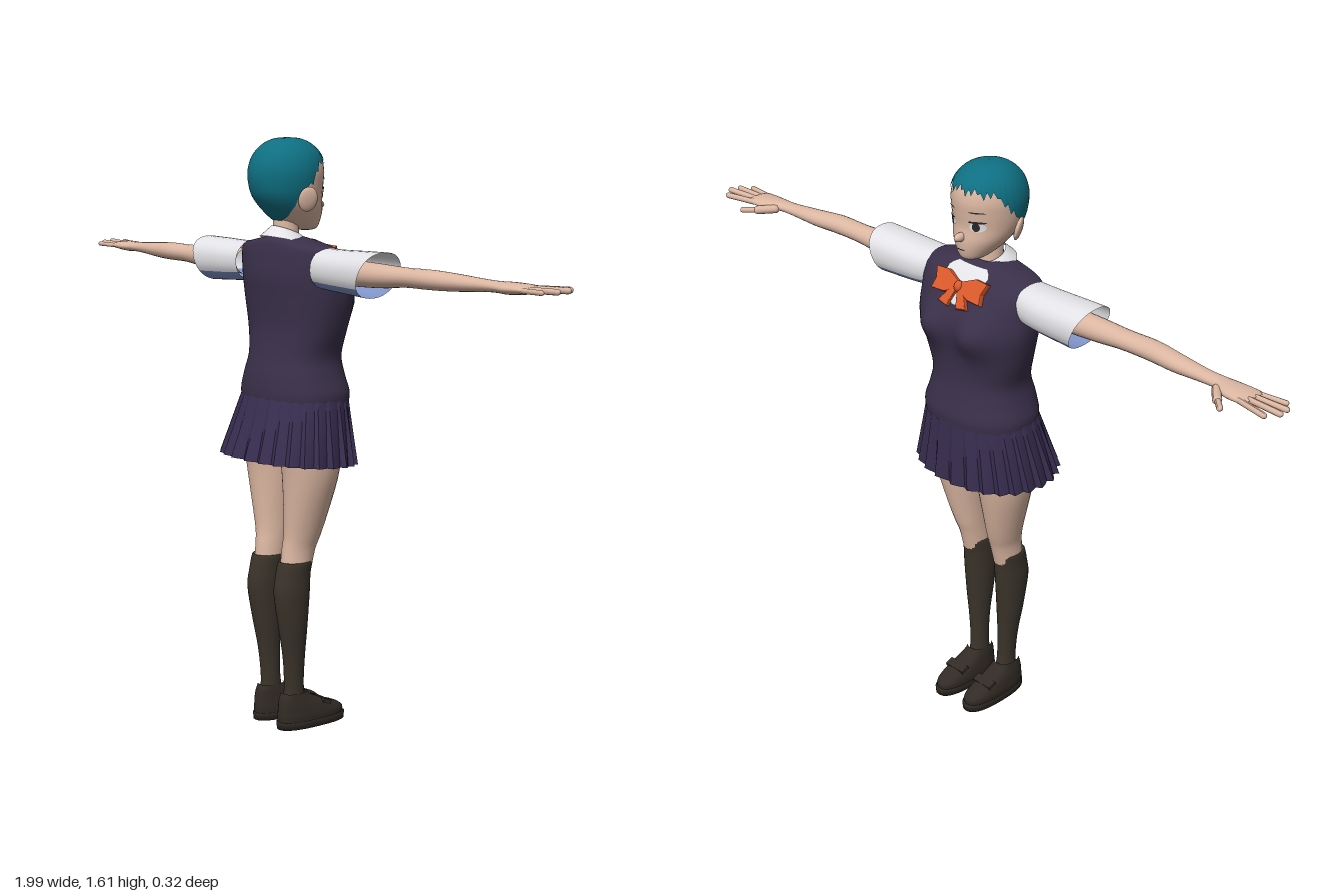
import * as THREE from 'three';

const mat = (name, color, side = THREE.FrontSide) => {
  const m = new THREE.MeshStandardMaterial({ color, side });
  m.name = name;
  return m;
};
const TAU = Math.PI * 2, D = THREE.DoubleSide;

// Surface from a rule fn(u, v), optionally closed around u
function grid(nu, nv, fn, { wrap = false, flip = false } = {}) {
  const pos = [], idx = [], w = wrap ? nu : nu + 1;
  for (let j = 0; j <= nv; j++)
    for (let i = 0; i < w; i++) pos.push(...fn(i / nu, j / nv));
  for (let j = 0; j < nv; j++)
    for (let i = 0; i < nu; i++) {
      const a = j * w + i, b = j * w + ((i + 1) % w), c = a + w, d = b + w;
      if (flip) idx.push(a, c, b, b, c, d);
      else idx.push(a, b, c, b, d, c);
    }
  const g = new THREE.BufferGeometry();
  g.setAttribute('position', new THREE.Float32BufferAttribute(pos, 3));
  g.setIndex(idx);
  g.computeVertexNormals();
  return g;
}

// Smooth cross-section profile; rows are [along, centre, half width, front z, back z]
function profile(rows, e = 1) {
  const it = new THREE.CubicInterpolant(rows.map((_, i) => i), rows.flat(), 5, new Float32Array(5));
  const n = rows.length - 1;
  const at = (t) => [...it.evaluate(t)];
  const pw = (k) => Math.sign(k) * Math.abs(k) ** e;
  return {
    n, at,
    point(th, t) {
      const [s, c, hw, f, b] = at(t), zc = (f + b) / 2;
      return [c + hw * pw(Math.sin(th)), s, zc - (zc - f) * pw(Math.cos(th))];
    },
    find(s) {
      let lo = 0, hi = n;
      for (let i = 0; i < 24; i++) {
        const m = (lo + hi) / 2;
        if (at(m)[0] < s) lo = m; else hi = m;
      }
      return lo;
    },
  };
}
const loft = (p, nu = 32, k = 4) =>
  grid(nu, p.n * k, (u, v) => p.point(u * TAU, v * p.n), { wrap: true, flip: true });
const loftX = (p, nu = 20, k = 4) => grid(nu, p.n * k, (u, v) => {
  const [y, x, z] = p.point(u * TAU, v * p.n);
  return [x, y, z];
}, { wrap: true });

function mirrored(geo) {
  const g = geo.clone().scale(-1, 1, 1), a = g.index.array;
  for (let i = 0; i < a.length; i += 3) [a[i], a[i + 1]] = [a[i + 1], a[i]];
  g.computeVertexNormals();
  return g;
}

export function createModel() {
  const root = new THREE.Group();
  root.name = 'schoolgirl';
  const skin = mat('skin', 0xdcb7a2), hair = mat('hair', 0x0e6f82, D), vest = mat('vest', 0x3a304a),
    skirt = mat('skirt', 0x382d50, D), sock = mat('sock', 0x3a332a), shoe = mat('shoe', 0x322b25),
    white = mat('shirt white', 0xe6e6ea, D), shade = mat('shirt blue', 0x7f93c8, D),
    orange = mat('bow orange', 0xdc5a2c, D), dark = mat('dark features', 0x2c2629, D);
  const add = (name, geo, m) => {
    const o = new THREE.Mesh(geo, m);
    o.name = name;
    root.add(o);
    return o;
  };
  const pair = (name, geo, m) => {
    add('left ' + name, geo, m);
    add('right ' + name, mirrored(geo), m);
  };

  // Head
  const head = profile([
    [1.358, 0, 0.004, -0.066, -0.05], [1.364, 0, 0.03, -0.086, -0.015], [1.385, 0, 0.052, -0.094, 0.035],
    [1.415, 0, 0.073, -0.096, 0.07], [1.45, 0, 0.086, -0.091, 0.098], [1.485, 0, 0.092, -0.094, 0.109],
    [1.52, 0, 0.093, -0.096, 0.11], [1.555, 0, 0.083, -0.087, 0.098], [1.582, 0, 0.062, -0.062, 0.073],
    [1.597, 0, 0.034, -0.031, 0.042], [1.601, 0, 0.001, 0.004, 0.006]]);
  add('head', loft(head, 40), skin);
  add('neck', new THREE.CylinderGeometry(0.033, 0.04, 0.13, 24).translate(0, 1.335, 0.01), skin);
  add('nose', new THREE.SphereGeometry(1, 16, 12).scale(0.011, 0.012, 0.02).translate(0, 1.425, -0.098), skin);
  pair('ear', new THREE.SphereGeometry(1, 20, 14).scale(0.009, 0.034, 0.025)
    .rotateY(-0.5).rotateZ(-0.3).translate(0.1, 1.446, 0.012), skin);

  // Cropped hair with a ragged hairline
  const line = [[0, 1.548], [0.9, 1.54], [1.2, 1.525], [1.45, 1.485], [1.75, 1.465], [2, 1.43], [2.4, 1.4], [3.15, 1.378]];
  const hairY = (th, i) => {
    const a = Math.min(th, TAU - th), k = Math.max(1, line.findIndex((p) => p[0] >= a));
    const [p, q] = [line[k - 1], line[k]];
    const y = p[1] + (q[1] - p[1]) * (a - p[0]) / (q[0] - p[0]);
    return y + (a < 1.5 ? [0, 0.012, -0.006, 0.008, -0.012, 0.004][i % 6] : 0);
  };
  add('hair', grid(72, 28, (u, v) => {
    const lo = head.find(hairY(u * TAU, Math.round(u * 72)));
    const [x, y, z] = head.point(u * TAU, lo + (head.n - lo) * v);
    return [x * 1.035, 1.45 + (y - 1.45) * 1.028, 0.006 + (z - 0.006) * 1.035];
  }, { wrap: true, flip: true }), hair);

  // Face details laid on the head surface
  const patch = (cx, cy, rx, ry, off) => grid(20, 4, (u, v) => {
    const x = cx + rx * v * Math.cos(u * TAU), y = cy + ry * v * Math.sin(u * TAU);
    const [, , hw, f, b] = head.at(head.find(y)), zc = (f + b) / 2;
    return [x, y, zc - (zc - f) * Math.sqrt(Math.max(0, 1 - (x / hw) ** 2)) - off];
  });
  pair('eye white', patch(0.043, 1.458, 0.019, 0.013, 0.0015), white);
  pair('iris', patch(0.041, 1.458, 0.009, 0.012, 0.003), dark);
  pair('upper lash', patch(0.044, 1.471, 0.021, 0.003, 0.0035), dark);
  pair('eyebrow', patch(0.044, 1.497, 0.02, 0.002, 0.002), dark);
  add('mouth', patch(0, 1.391, 0.014, 0.0018, 0.002), dark);

  // Knitted vest, with a raised bust and ribbed hem
  const torso = profile([
    [0.905, 0, 0.164, -0.145, 0.103], [0.935, 0, 0.164, -0.146, 0.104], [0.98, 0, 0.15, -0.135, 0.098],
    [1.03, 0, 0.142, -0.126, 0.084], [1.1, 0, 0.164, -0.128, 0.072], [1.18, 0, 0.184, -0.136, 0.074],
    [1.24, 0, 0.188, -0.122, 0.077], [1.29, 0, 0.192, -0.096, 0.07], [1.318, 0, 0.178, -0.07, 0.064],
    [1.334, 0, 0.11, -0.052, 0.058], [1.345, 0, 0.05, -0.03, 0.046]], 0.88);
  const torsoPoint = (th, t, off = 0) => {
    const [x, y, z] = torso.point(th, t);
    const bump = Math.cos(th) > 0 ? Math.exp(-(((Math.abs(x) - 0.075) / 0.05) ** 2) - ((y - 1.175) / 0.055) ** 2) : 0;
    return [x, y, z - 0.03 * bump - off];
  };
  add('vest', grid(64, torso.n * 5, (u, v) => torsoPoint(u * TAU, v * torso.n), { wrap: true, flip: true }), vest);
  add('shirt neckline', grid(12, 12, (u, v) => {
    const p = torsoPoint((u - 0.5) * (0.04 + 0.85 * v), torso.find(1.245 + 0.09 * v), 0.004);
    return [p[0], p[1] + 0.002, p[2]];
  }, { flip: true }), white);

  // Folded shirt collar, open at the throat and lower in front
  add('collar', grid(40, 4, (u, v) => {
    const th = 0.22 + u * (TAU - 0.44), c = Math.cos(th), front = Math.max(0, c);
    const r = 0.043 + 0.03 * v;
    return [r * Math.sin(th), 1.357 - 0.017 * c - v * (0.026 + 0.018 * front), 0.006 - r * c * (1 + 0.15 * front * v)];
  }, { flip: true }), white);

  // Ribbon bow: two loops, two tails and a knot, tilted along the chest
  const bow = new THREE.Group();
  bow.name = 'bow';
  bow.position.set(0, 1.292, -0.104);
  bow.rotation.x = 0.5;
  root.add(bow);
  const ribbon = (name, pts) => {
    const g = new THREE.ExtrudeGeometry(new THREE.Shape(pts.map(([x, y]) => new THREE.Vector2(x, y))),
      { depth: 0.01, bevelEnabled: true, bevelSize: 0.003, bevelThickness: 0.004, bevelSegments: 2 });
    const m = new THREE.Mesh(g, orange);
    m.name = name;
    bow.add(m);
  };
  for (const [s, n] of [[1, 'left'], [-1, 'right']]) {
    ribbon(n + ' bow loop', [[0, 0.008], [s * 0.05, 0.03], [s * 0.088, 0.028], [s * 0.078, 0], [s * 0.084, -0.026], [s * 0.045, -0.024], [0, -0.008]]);
    ribbon(n + ' bow tail', [[0, -0.003], [s * 0.02, -0.01], [s * 0.048, -0.05], [s * 0.018, -0.055]]);
  }
  const knot = new THREE.Mesh(new THREE.SphereGeometry(1, 14, 10).scale(0.013, 0.015, 0.013), orange);
  knot.name = 'bow knot';
  bow.add(knot);

  // Pleated skirt
  const pleats = 26;
  add('skirt', grid(pleats * 4, 6, (u, v) => {
    const th = u * TAU, c = Math.cos(th), k = (u * pleats) % 1;
    const saw = 1 + (0.012 + 0.06 * v) * ((k < 0.75 ? k / 0.75 : (1 - k) * 4) - 0.7);
    const hw = 0.162 + 0.05 * v, f = -0.143 - 0.011 * v, b = 0.102 + 0.056 * v, zc = (f + b) / 2;
    const sq = (q) => Math.sign(q) * Math.abs(q) ** 0.9;
    return [hw * sq(Math.sin(th)) * saw, 0.925 - v * (0.18 + 0.01 * c), zc - (zc - f) * sq(c) * saw];
  }, { wrap: true }).toNonIndexed(), skirt).geometry.computeVertexNormals();

  // Legs, knee socks and loafers
  pair('thigh', loft(profile([
    [0.44, 0.06, 0.037, -0.022, 0.068], [0.5, 0.06, 0.038, -0.038, 0.062], [0.54, 0.064, 0.043, -0.052, 0.058],
    [0.6, 0.071, 0.053, -0.068, 0.06], [0.7, 0.08, 0.072, -0.09, 0.066], [0.78, 0.082, 0.079, -0.1, 0.075],
    [0.87, 0.08, 0.078, -0.1, 0.08]]), 28), skin);
  pair('sock', loft(profile([
    [0.07, 0.053, 0.026, -0.014, 0.056], [0.12, 0.054, 0.024, -0.006, 0.052], [0.2, 0.057, 0.027, -0.007, 0.058],
    [0.29, 0.06, 0.035, -0.012, 0.074], [0.38, 0.061, 0.04, -0.018, 0.089], [0.43, 0.06, 0.04, -0.021, 0.083],
    [0.468, 0.06, 0.041, -0.026, 0.073], [0.47, 0.06, 0.034, -0.02, 0.066]]), 28), sock);
  pair('shoe', loft(profile([
    [0.018, 0.055, 0.038, -0.138, 0.072], [0.035, 0.055, 0.039, -0.138, 0.073], [0.05, 0.055, 0.037, -0.118, 0.072],
    [0.066, 0.055, 0.034, -0.075, 0.07], [0.085, 0.054, 0.03, -0.032, 0.066], [0.1, 0.054, 0.027, -0.014, 0.059]], 0.8), 28), shoe);
  pair('shoe sole', loft(profile([
    [0, 0.055, 0.002, -0.04, -0.03], [0.0005, 0.055, 0.04, -0.143, 0.075], [0.02, 0.055, 0.041, -0.145, 0.076],
    [0.021, 0.055, 0.036, -0.135, 0.07]], 0.8), 28, 1), shoe);
  pair('shoe strap', new THREE.BoxGeometry(0.066, 0.012, 0.026).rotateX(-0.35).translate(0.055, 0.063, -0.068), shoe);

  // Short sleeves: white above, blue beneath, cut on a slant
  const sleeve = profile([
    [0.165, 1.268, 0.053, -0.066, 0.056], [0.22, 1.266, 0.055, -0.074, 0.058],
    [0.3, 1.265, 0.058, -0.077, 0.059], [0.365, 1.264, 0.06, -0.078, 0.06]], 0.9);
  const sleevePart = (a, b) => grid(24, 12, (u, v) => {
    const [y, x, z] = sleeve.point(a + (b - a) * u, v * sleeve.n);
    return [x + (y - 1.264) * 0.42 * v, y, z];
  });
  pair('sleeve top', sleevePart(-0.55, Math.PI + 0.55), white);
  pair('sleeve underside', sleevePart(Math.PI + 0.55, TAU - 0.55), shade);

  // Arms and hands
  pair('arm', loftX(profile([
    [0.2, 1.264, 0.036, -0.045, 0.032], [0.38, 1.265, 0.031, -0.038, 0.031], [0.48, 1.268, 0.025, -0.035, 0.026],
    [0.57, 1.269, 0.025, -0.036, 0.026], [0.65, 1.268, 0.022, -0.043, 0.015], [0.74, 1.268, 0.016, -0.043, 0.002],
    [0.79, 1.268, 0.014, -0.048, 0.002], [0.83, 1.267, 0.015, -0.067, 0.006], [0.88, 1.268, 0.012, -0.073, 0.006],
    [0.9, 1.268, 0.005, -0.068, 0.002]])), skin);
  const finger = (name, a, b, r) => {
    const p = new THREE.Vector3(...a), q = new THREE.Vector3(...b), d = q.clone().sub(p);
    const g = new THREE.CapsuleGeometry(r, d.length() - r, 4, 10);
    g.applyQuaternion(new THREE.Quaternion().setFromUnitVectors(new THREE.Vector3(0, 1, 0), d.normalize()));
    g.translate(...p.add(q).multiplyScalar(0.5).toArray());
    pair(name, g, skin);
  };
  finger('thumb base', [0.795, 1.264, -0.045], [0.835, 1.262, -0.092], 0.012);
  finger('thumb', [0.828, 1.262, -0.084], [0.865, 1.262, -0.119], 0.008);
  finger('index finger', [0.87, 1.268, -0.063], [0.968, 1.27, -0.088], 0.008);
  finger('middle finger', [0.87, 1.269, -0.044], [0.992, 1.272, -0.058], 0.008);
  finger('ring finger', [0.87, 1.268, -0.024], [0.988, 1.27, -0.027], 0.0075);
  finger('little finger', [0.865, 1.267, -0.006], [0.965, 1.268, 0.002], 0.0065);
  return root;
}
